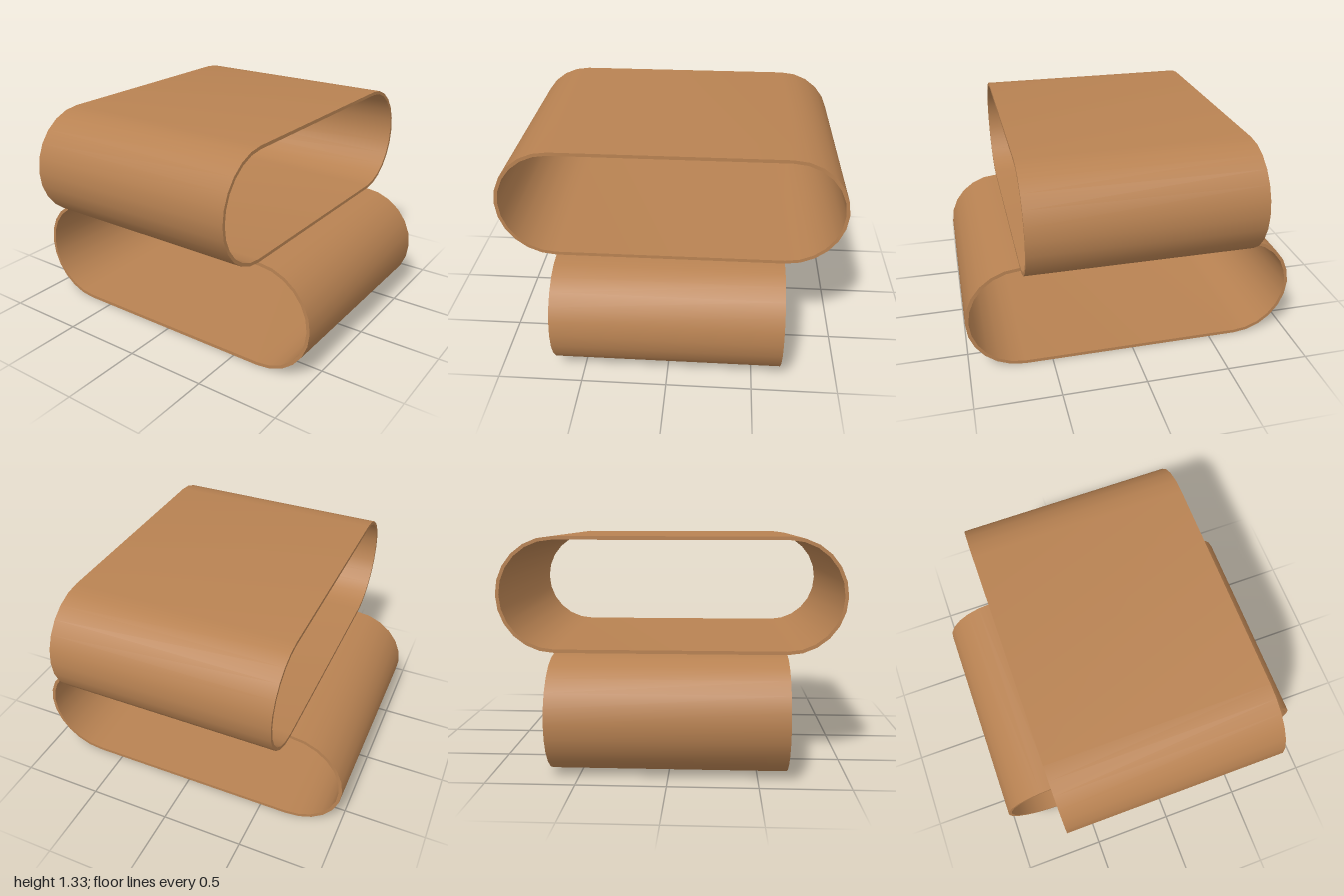
import * as THREE from 'three';
import { toCreasedNormals } from 'three/addons/utils/BufferGeometryUtils.js';

const RADIUS = 1 / 3, HALF_STRAIGHT = 2 / 3, WALL = 0.02, LENGTH = 4 / 3, STEPS = 12;

// Outline of a slot: two half circles joined by straight sides
function slotPoints(radius) {
  const points = [];
  for (const side of [1, -1]) {
    for (let i = 0; i <= STEPS; i++) {
      const a = -Math.PI / 2 + (Math.PI * i) / STEPS;
      points.push(new THREE.Vector2(
        side * (HALF_STRAIGHT + radius * Math.cos(a)), side * radius * Math.sin(a)));
    }
  }
  return points;
}

export function createModel() {
  const group = new THREE.Group();
  const brown = new THREE.MeshStandardMaterial({ color: 0xb88252 });
  brown.name = 'warmBrown';

  // Hollow sleeve with thin walls, open at both ends
  const shape = new THREE.Shape(slotPoints(RADIUS));
  shape.holes.push(new THREE.Path(slotPoints(RADIUS - WALL).reverse()));
  const extruded = new THREE.ExtrudeGeometry(shape, { depth: LENGTH, bevelEnabled: false });
  extruded.translate(0, 0, -LENGTH / 2);
  const sleeve = toCreasedNormals(extruded, 0.5);
  sleeve.clearGroups();

  // Upper sleeve opens front to back, lower one side to side
  const upper = new THREE.Mesh(sleeve, brown);
  upper.name = 'upperSleeve';
  upper.position.y = RADIUS * 3;

  const lower = new THREE.Mesh(sleeve, brown);
  lower.name = 'lowerSleeve';
  lower.position.y = RADIUS;
  lower.rotation.y = Math.PI / 2;

  group.add(upper, lower);
  return group;
}
